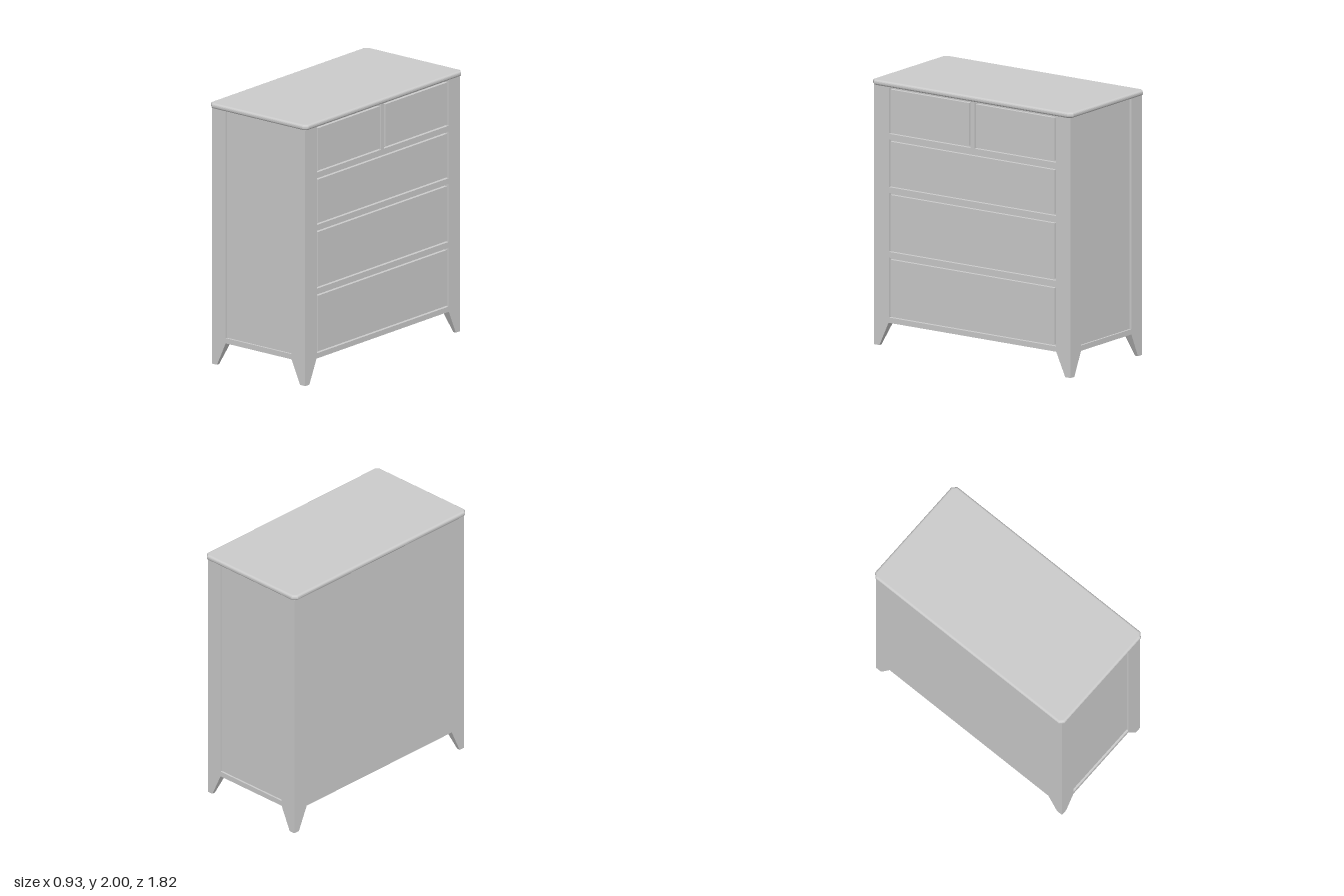
import * as THREE from 'three';

const X = 0.443, Z = 0.89;          // half depth and half width of the carcass
const BASE = 0.18, TOP = 1.96;      // underside and upper end of the carcass
const POST = 0.13;                  // width of the corner posts
const FRAME = 0.025, RECESS = 0.015; // thickness of the face frame and depth of the end panels

const material = new THREE.MeshStandardMaterial({ color: 0xcccccc, flatShading: true });
const smoothMaterial = new THREE.MeshStandardMaterial({ color: 0xcccccc });

function part(group, name, geometry, mat = material) {
  const mesh = new THREE.Mesh(geometry, mat);
  mesh.name = name;
  group.add(mesh);
  return mesh;
}

function box(group, name, x0, x1, y0, y1, z0, z1) {
  const geometry = new THREE.BoxGeometry(x1 - x0, y1 - y0, z1 - z0);
  return part(group, name, geometry.translate((x0 + x1) / 2, (y0 + y1) / 2, (z0 + z1) / 2));
}

function polygon(points) {
  return new THREE.Shape(points.map(([x, y]) => new THREE.Vector2(x, y)));
}

function rectangle(x0, x1, y0, y1) {
  return polygon([[x0, y0], [x1, y0], [x1, y1], [x0, y1]]);
}

// Leg: square with a cut inner corner, tapering towards the outer corner of the body
function legGeometry(sx, sz) {
  const w = POST, c = POST / 2;
  const outline = [[0, 0], [w, 0], [w, c], [c, w], [0, w]];
  const shape = polygon(outline.map(([a, b]) => [-sx * a, sz * b]));
  const geometry = new THREE.ExtrudeGeometry(shape, { depth: BASE, bevelEnabled: false });
  geometry.rotateX(-Math.PI / 2);
  const p = geometry.attributes.position;
  for (let i = 0; i < p.count; i++) {
    const s = THREE.MathUtils.lerp(0.37, 1, p.getY(i) / BASE);
    p.setX(i, p.getX(i) * s);
    p.setZ(i, p.getZ(i) * s);
  }
  geometry.translate(sx * X, 0, sz * Z);
  geometry.computeVertexNormals();
  return geometry;
}

export function createModel() {
  const group = new THREE.Group();
  group.name = 'chestOfDrawers';

  // Solid core; its faces form the end panels and the floor of the drawer gaps
  box(group, 'carcass', -X, X - FRAME, BASE, TOP, -Z + RECESS, Z - RECESS);

  // Drawer openings as [z0, z1, y0, y1]
  const w = Z - POST - 0.003;
  const openings = [
    [-w, w, 0.22, 0.672],
    [-w, w, 0.715, 1.16],
    [-w, w, 1.203, 1.562],
    [-w, -0.018, 1.605, 1.955],
    [0.018, w, 1.605, 1.955],
  ];

  // Face frame on the drawer side
  const face = rectangle(-Z, Z, BASE, TOP);
  for (const o of openings) face.holes.push(rectangle(...o));
  const faceGeometry = new THREE.ExtrudeGeometry(face, { depth: FRAME, bevelEnabled: false });
  faceGeometry.rotateY(Math.PI / 2).translate(X - FRAME, 0, 0);
  part(group, 'faceFrame', faceGeometry);

  // Flush drawer fronts with a narrow gap all round
  const gap = 0.014;
  for (const [z0, z1, y0, y1] of openings) {
    box(group, 'drawerFront', X - FRAME - 0.01, X, y0 + gap, y1 - gap, z0 + gap, z1 - gap);
  }

  // Frames around the recessed end panels, open at the top
  const inner = X - POST;
  const end = polygon([
    [-X, BASE], [X - FRAME, BASE], [X - FRAME, TOP], [inner, TOP],
    [inner, 0.22], [-inner, 0.22], [-inner, TOP], [-X, TOP],
  ]);
  for (const z of [-Z, Z - RECESS]) {
    const geometry = new THREE.ExtrudeGeometry(end, { depth: RECESS, bevelEnabled: false });
    part(group, 'endFrame', geometry.translate(0, 0, z));
  }

  // Four tapered legs
  for (const sx of [-1, 1]) {
    for (const sz of [-1, 1]) part(group, 'leg', legGeometry(sx, sz));
  }

  // Overhanging top with cut corners and rounded edges
  const r = 0.017, c = 0.022;
  const tx = 0.465 - r, tz = 0.908 - r;
  const slab = polygon([
    [-tx + c, -tz], [tx - c, -tz], [tx, -tz + c], [tx, tz - c],
    [tx - c, tz], [-tx + c, tz], [-tx, tz - c], [-tx, -tz + c],
  ]);
  const topGeometry = new THREE.ExtrudeGeometry(slab, {
    depth: 0.04 - 2 * r, bevelSize: r, bevelThickness: r, bevelSegments: 6,
  });
  topGeometry.rotateX(-Math.PI / 2).translate(0, TOP + r, 0);
  part(group, 'top', topGeometry, smoothMaterial);

  return group;
}
